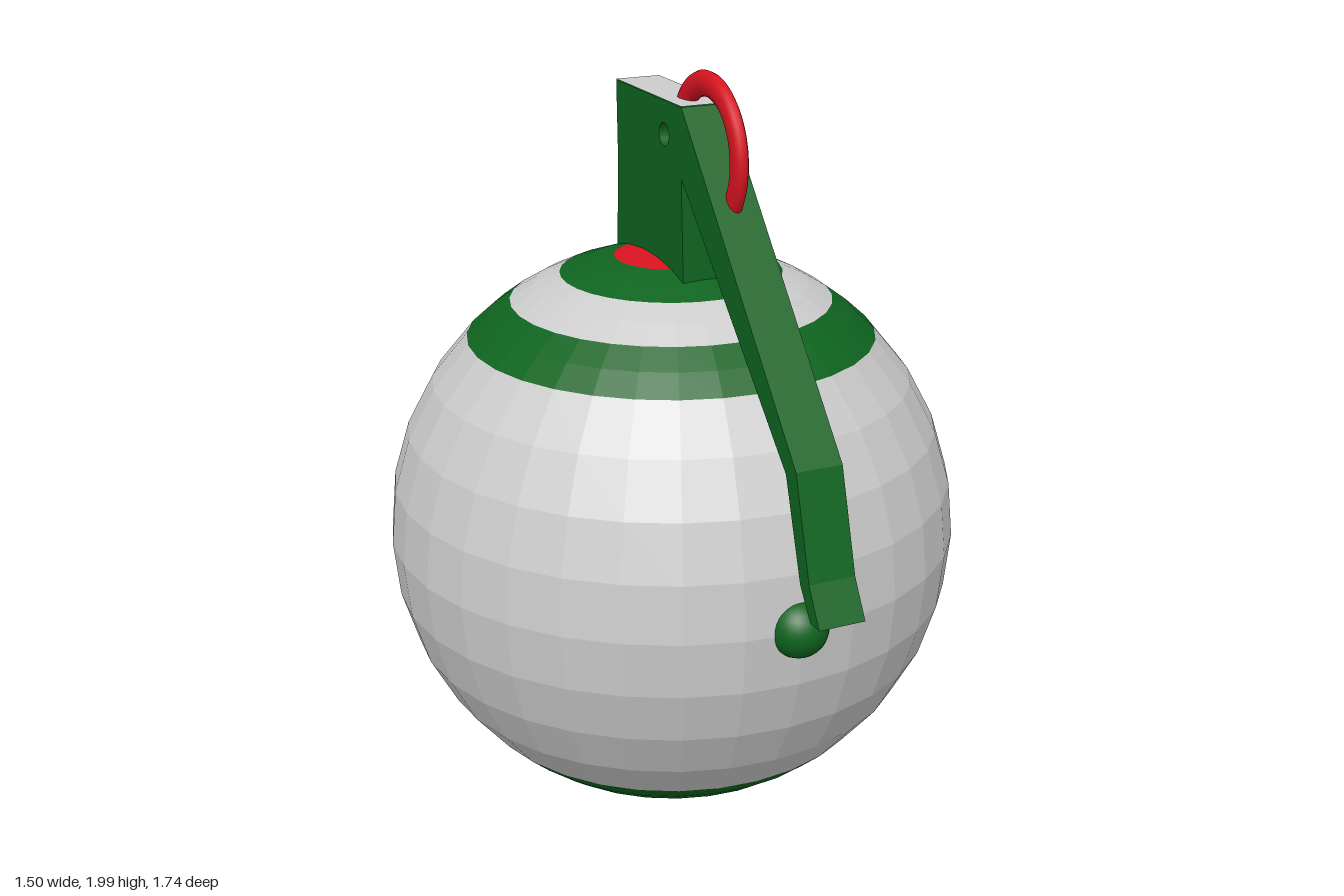
import * as THREE from 'three';

const GREEN = 0x0f6420, RED = 0xd81420, GREY = 0xcccccc;
const R = 0.752, CY = 0.757, CZ = -0.065; // body sphere

const paint = (color, flatShading = true) => new THREE.MeshStandardMaterial({ color, flatShading });

function addMesh(group, name, geometry, material) {
  const mesh = new THREE.Mesh(geometry, material);
  mesh.name = name;
  group.add(mesh);
  return mesh;
}

// Side profile of [z, y] points, extruded across x and centred on x = 0
function sidePlate(points, width, hole) {
  const shape = new THREE.Shape(points.map(([z, y]) => new THREE.Vector2(z, y)));
  if (hole) shape.holes.push(new THREE.Path().absarc(hole[0], hole[1], hole[2], 0, Math.PI * 2, true));
  return new THREE.ExtrudeGeometry(shape, { depth: width, bevelEnabled: false, curveSegments: 16 })
    .translate(0, 0, -width / 2)
    .rotateY(-Math.PI / 2);
}

export function createModel() {
  const model = new THREE.Group();
  model.name = 'roundGrenade';

  // Faceted ball, split into coloured bands: [name, first row, rows, color]
  const row = Math.PI / 16;
  const body = new THREE.Group();
  body.name = 'body';
  body.position.set(0, CY, CZ);
  const bands = [
    ['topCap', 0, 1, RED], ['topInnerRing', 1, 1, GREEN], ['topGap', 2, 1, GREY], ['topOuterRing', 3, 1, GREEN],
    ['belly', 4, 8, GREY],
    ['bottomOuterRing', 12, 1, GREEN], ['bottomGap', 13, 1, GREY], ['bottomInnerRing', 14, 1, GREEN], ['bottomCap', 15, 1, RED],
  ];
  for (const [name, start, rows, color] of bands) {
    addMesh(body, name, new THREE.SphereGeometry(R, 32, rows, 0, Math.PI * 2, start * row, rows * row), paint(color));
  }
  model.add(body);

  // Round studs on the front and back of the ball
  for (const [name, z] of [['frontStud', 0.661], ['backStud', -0.794]]) {
    addMesh(model, name, new THREE.SphereGeometry(0.075, 24, 16), paint(GREEN, false)).position.set(0, CY + 0.003, z);
  }

  // Fuse head and bent lever in one plate, with the pin hole through it
  addMesh(model, 'headAndLever', sidePlate([
    [0.127, 1.912], [-0.27, 1.912], [-0.264, 1.7], [-0.276, 1.47],
    [0.139, 1.47], [0.127, 1.738], [0.694, 1.176], [0.774, 0.933],
    [0.827, 0.858], [0.869, 0.858], [0.816, 0.949], [0.742, 1.198],
  ], 0.12, [0.026, 1.828, 0.029]), paint(GREEN));

  // Bare top of the head
  addMesh(model, 'headTop', new THREE.PlaneGeometry(0.12, 0.397).rotateX(-Math.PI / 2), paint(GREY))
    .position.set(0, 1.914, -0.0715);

  // Pull ring: flattened arc that runs into the head and the lever
  const ring = new THREE.TorusGeometry(0.166, 0.032, 12, 36, THREE.MathUtils.degToRad(192))
    .rotateZ(THREE.MathUtils.degToRad(-45))
    .scale(1, 1, 0.62)
    .rotateY(-Math.PI / 2);
  addMesh(model, 'pullRing', ring, paint(RED, false)).position.set(0, 1.802, 0.154);

  // Pin end sticking out of the back of the head
  addMesh(model, 'pinEnd', sidePlate([
    [-0.25, 1.875], [-0.29, 1.875], [-0.335, 1.888], [-0.357, 1.848], [-0.335, 1.83], [-0.265, 1.77], [-0.25, 1.77],
  ], 0.042), paint(RED));

  return model;
}
